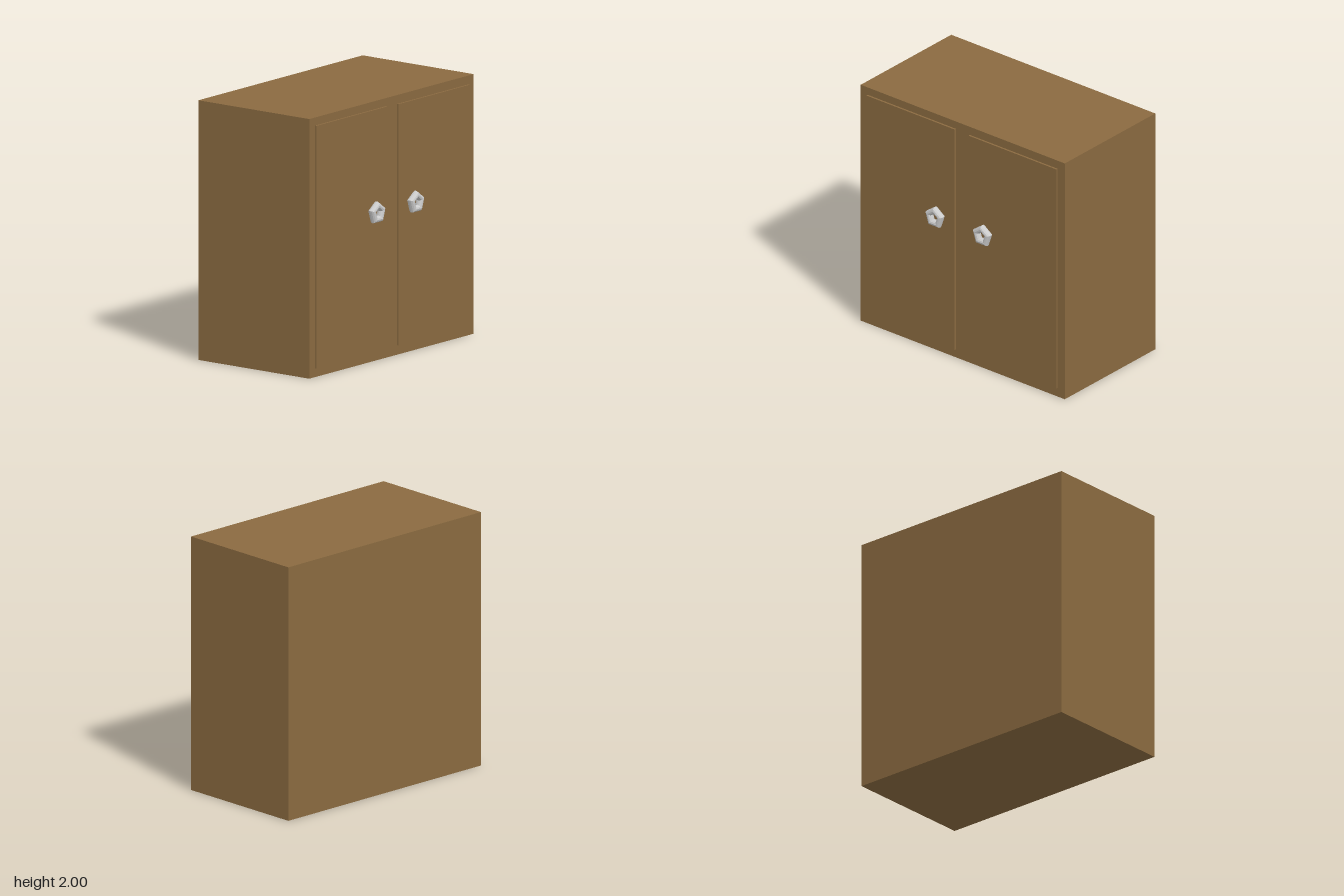
import * as THREE from 'three';

const wood = new THREE.MeshStandardMaterial({ color: 0x8a6a40 });
const metal = new THREE.MeshStandardMaterial({ color: 0xcccccc, flatShading: true });

// Box given by its min and max corners
function box(name, [x0, y0, z0], [x1, y1, z1]) {
  const mesh = new THREE.Mesh(new THREE.BoxGeometry(x1 - x0, y1 - y0, z1 - z0), wood);
  mesh.position.set((x0 + x1) / 2, (y0 + y1) / 2, (z0 + z1) / 2);
  mesh.name = name;
  return mesh;
}

// Five-sided ring, one corner up, opening along x
function ringHandle(name, x, y, z) {
  const ring = new THREE.TorusGeometry(0.059, 0.03, 12, 5);
  ring.rotateZ(Math.PI / 2).rotateY(Math.PI / 2);
  const mesh = new THREE.Mesh(ring, metal);
  mesh.position.set(x, y, z);
  mesh.name = name;
  return mesh;
}

export function createModel() {
  const cabinet = new THREE.Group();
  cabinet.name = 'cabinet';

  // Solid carcass
  cabinet.add(box('carcass', [-0.57, 0, -1], [0.492, 2, 1]));

  // Two shallow doors on the +x side, the second hung a touch lower and shorter
  cabinet.add(box('nearDoor', [0.48, 0.068, 0.068], [0.508, 1.938, 0.932]));
  cabinet.add(box('farDoor', [0.48, 0.073, -0.93], [0.508, 1.932, -0.068]));

  // Ring handles near the meeting edges
  cabinet.add(ringHandle('nearHandle', 0.536, 1.151, 0.234));
  cabinet.add(ringHandle('farHandle', 0.54, 1.153, -0.234));

  return cabinet;
}
